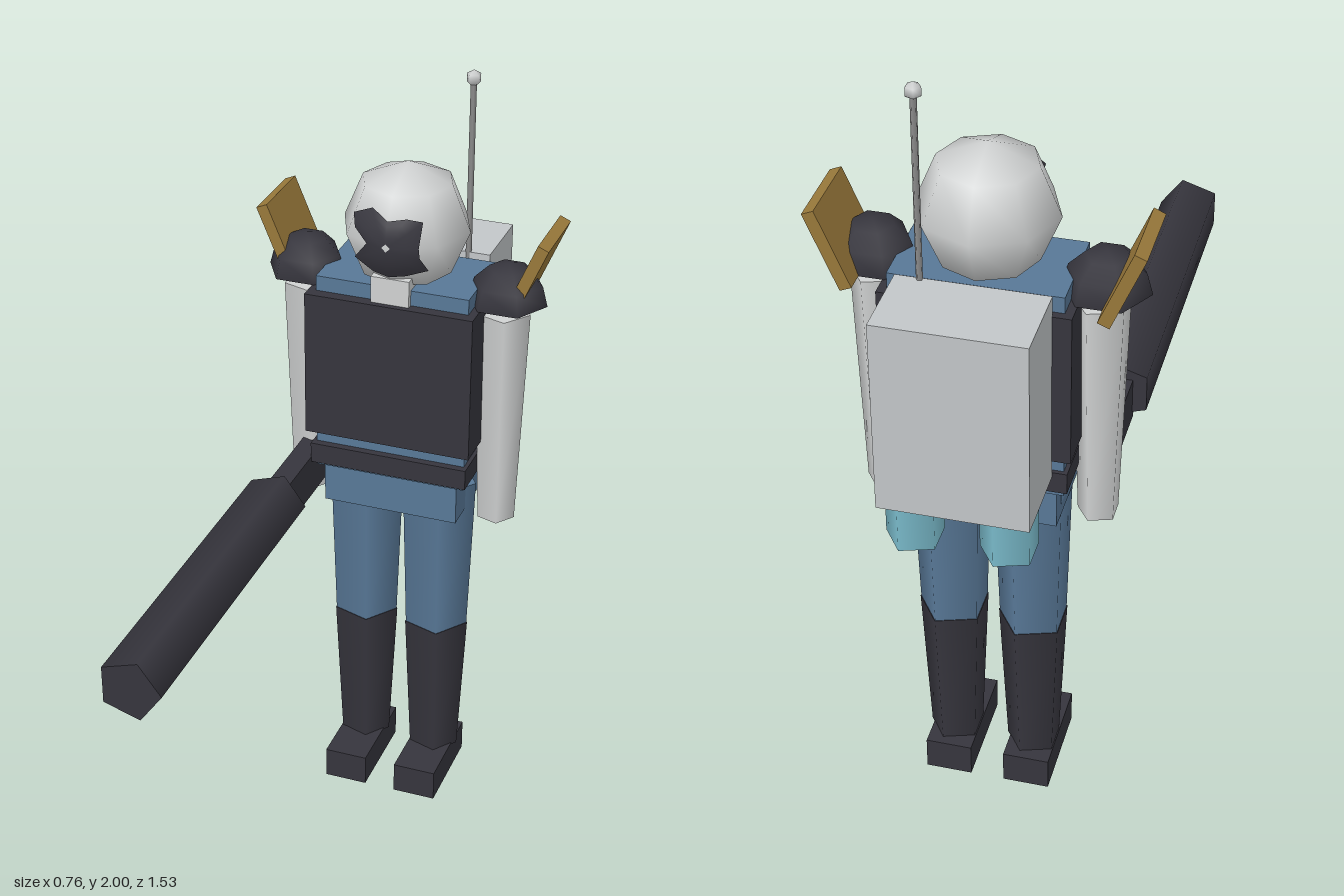
import * as THREE from 'three';

export function createModel() {
  const model = new THREE.Group();
  model.name = 'armoredSoldier';

  const mat = (name, color) => {
    const m = new THREE.MeshStandardMaterial({ color });
    m.name = name;
    return m;
  };
  const blue = mat('suitBlue', 0x587897);
  const dark = mat('darkArmor', 0x36353d);
  const white = mat('paleShell', 0xd0d2d2);
  const grey = mat('packGrey', 0xc2c6c8);
  const gold = mat('goldPlate', 0x98783a);
  const cyan = mat('thrusterCyan', 0x78b8c8);
  const metal = mat('antennaMetal', 0x8c8c8c);

  const add = (name, geo, material, x, y, z) => {
    const mesh = new THREE.Mesh(geo, material);
    mesh.name = name;
    mesh.position.set(x, y, z);
    model.add(mesh);
    return mesh;
  };
  // box from its lower and upper corners
  const box = (name, material, [x0, y0, z0], [x1, y1, z1]) =>
    add(name, new THREE.BoxGeometry(x1 - x0, y1 - y0, z1 - z0), material,
      (x0 + x1) / 2, (y0 + y1) / 2, (z0 + z1) / 2);
  // five-sided upright tube with one corner towards +x
  const prism = (rTop, rBottom, h) =>
    new THREE.CylinderGeometry(rTop, rBottom, h, 5, 1, false, Math.PI / 2);
  const post = (name, material, x, z, y0, y1, rBottom, rTop) =>
    add(name, prism(rTop, rBottom, y1 - y0), material, x, (y0 + y1) / 2, z);

  const Z = -0.432; // body axis

  // body
  box('torso', blue, [-0.2, 0.97, -0.55], [0.2, 1.51, -0.32]);
  box('chestArmor', dark, [-0.22, 1.08, -0.57], [0.22, 1.47, -0.29]);
  box('belt', dark, [-0.21, 0.985, -0.56], [0.21, 1.04, -0.3]);
  box('pelvis', blue, [-0.18, 0.865, -0.535], [0.18, 0.985, -0.325]);
  box('collar', white, [-0.05, 1.46, -0.5], [0.05, 1.54, -0.305]);

  // limbs and shoulders, both sides
  for (const s of [-1, 1]) {
    const side = s > 0 ? 'left' : 'right';
    post(side + 'Thigh', blue, s * 0.1, Z, 0.49, 0.93, 0.086, 0.1);
    post(side + 'Boot', dark, s * 0.1, Z, 0.08, 0.49, 0.068, 0.088);
    box(side + 'Foot', dark, [s * 0.1 - 0.058, 0, -0.52], [s * 0.1 + 0.058, 0.086, -0.265]);
    post(side + 'Arm', white, s * 0.256, Z, 0.85, 1.44, 0.05, 0.07);

    const dome = new THREE.SphereGeometry(0.102, 6, 3, 0, Math.PI * 2, 0, Math.PI / 2);
    add(side + 'ShoulderDome', dome, dark, s * 0.266, 1.47, Z);
    const base = new THREE.CircleGeometry(0.102, 6).rotateX(Math.PI / 2);
    add(side + 'ShoulderBase', base, dark, s * 0.266, 1.47, Z);

    const plate = add(side + 'ShoulderPlate', new THREE.BoxGeometry(0.03, 0.2, 0.195), gold,
      s * 0.327, 1.557, -0.472);
    plate.rotation.z = -s * 0.4;

    post(side + 'Thruster', cyan, s * 0.11, -0.687, 0.905, 1.05, 0.07, 0.07);
  }

  // helmet
  add('helmet', new THREE.SphereGeometry(0.165, 8, 4), white, 0, 1.637, Z);

  // visor: a star-like outline, filled in rings and laid onto a sphere
  const outline = [[0.05, 0.002], [0.082, 0.065], [0.045, 0.073], [0, 0.065], [-0.045, 0.087],
    [-0.1, 0.06], [-0.09, 0.03], [-0.052, 0.002], [-0.095, -0.055], [-0.04, -0.078],
    [0, -0.088], [0.045, -0.078], [0.095, -0.065], [0.08, -0.025]];
  outline[0] = [0.078, 0.002];
  const rings = 5, n = outline.length, R = 0.161;
  const pos = [0, 0, R], index = [];
  for (let r = 1; r <= rings; r++) {
    for (const [px, py] of outline) {
      const x = px * r / rings, y = py * r / rings;
      pos.push(x, y, Math.sqrt(R * R - x * x - y * y));
    }
  }
  for (let i = 0; i < n; i++) {
    const j = (i + 1) % n;
    index.push(0, 1 + i, 1 + j);
    for (let r = 0; r < rings - 1; r++) {
      const a = 1 + r * n, b = a + n;
      index.push(a + i, b + i, b + j, a + i, b + j, a + j);
    }
  }
  const visor = new THREE.BufferGeometry();
  visor.setAttribute('position', new THREE.Float32BufferAttribute(pos, 3));
  visor.setIndex(index);
  visor.computeVertexNormals();
  dark.side = THREE.DoubleSide;
  add('visor', visor, dark, 0, 1.637, Z);

  // backpack and antenna
  box('backpack', grey, [-0.176, 1.03, -0.765], [0.176, 1.52, -0.565]);
  post('antenna', metal, 0.118, -0.57, 1.47, 1.98, 0.008, 0.008);
  add('antennaTip', new THREE.SphereGeometry(0.021, 5, 3), white, 0.118, 1.98, -0.57);

  // hand cannon
  const barrel = prism(0.081, 0.081, 0.88).rotateX(Math.PI / 2);
  add('cannonBarrel', barrel, dark, -0.234, 0.965, 0.325);
  box('cannonGrip', dark, [-0.265, 0.885, -0.43], [-0.208, 1.0, -0.1]);

  return model;
}
